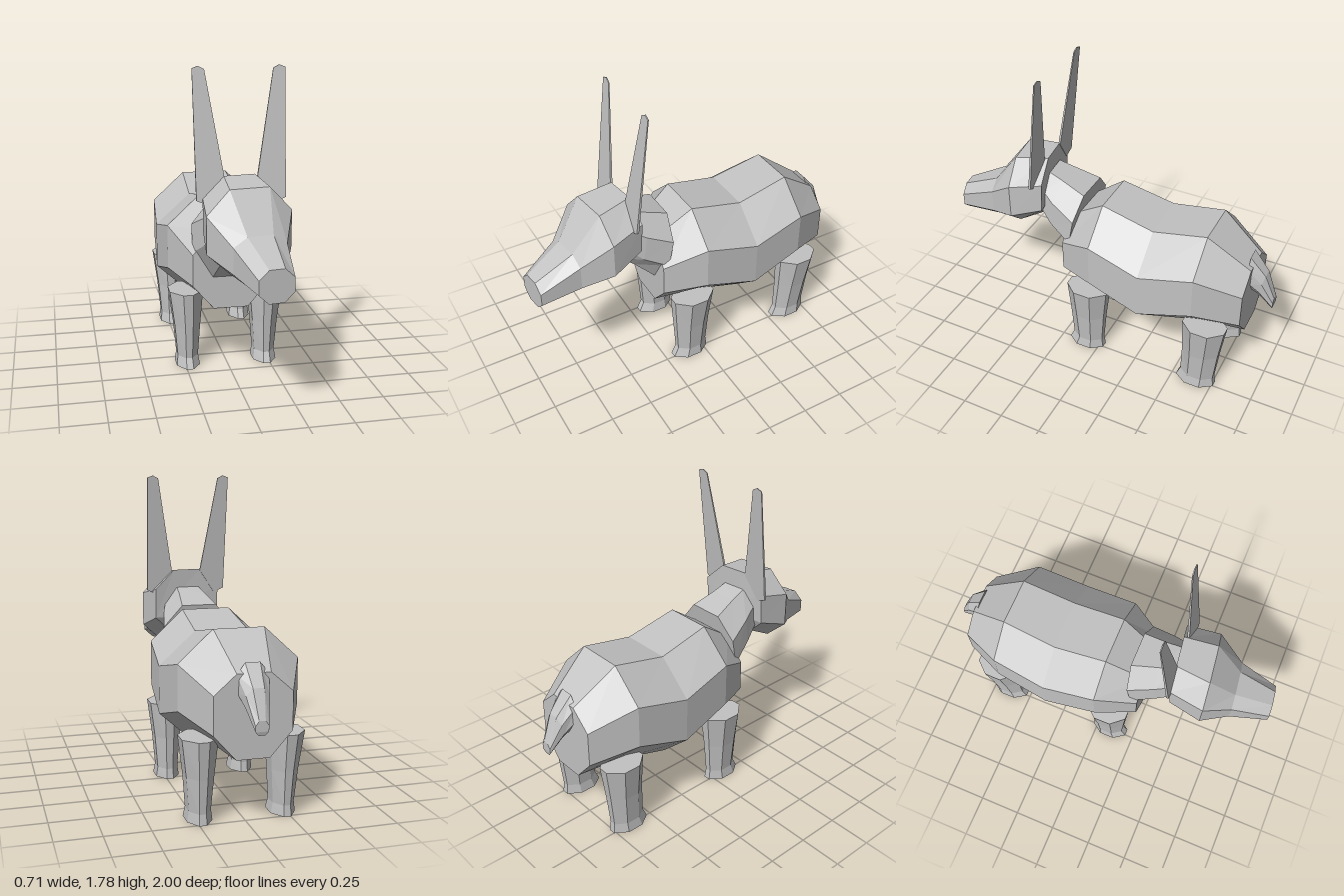
import * as THREE from 'three';

const hide = new THREE.MeshStandardMaterial({ color: 0xc2c2c2, flatShading: true, side: THREE.DoubleSide });
hide.name = 'grey hide';

// Skins a list of rings (ordered counter-clockwise seen from the first end) and caps both ends.
function loft(name, rings) {
  const n = rings[0].length, pos = [], index = [];
  rings.forEach(r => r.forEach(p => pos.push(...p)));
  for (let s = 0; s < rings.length - 1; s++) {
    for (let i = 0; i < n; i++) {
      const j = (i + 1) % n, a = s * n, b = a + n;
      index.push(a + i, b + i, b + j, a + i, b + j, a + j);
    }
  }
  const last = (rings.length - 1) * n;
  for (let i = 1; i < n - 1; i++) index.push(0, i, i + 1, last, last + i + 1, last + i);
  const indexed = new THREE.BufferGeometry();
  indexed.setAttribute('position', new THREE.Float32BufferAttribute(pos, 3));
  indexed.setIndex(index);
  const g = indexed.toNonIndexed();
  g.computeVertexNormals();
  const mesh = new THREE.Mesh(g, hide);
  mesh.name = name;
  return mesh;
}

// Octagonal slice across the animal: ys and zs run top, upper side, lower side, bottom.
function slice(cx, side, flat, ys, zs, turn = 0) {
  const z = Array.isArray(zs) ? zs : [zs, zs, zs, zs];
  const corners = [[side, 2], [side, 1], [flat, 0], [-flat, 0], [-side, 1], [-side, 2], [-flat, 3], [flat, 3]];
  return corners.map(([x, k]) => [cx + x, ys[k], z[k] - x * turn]);
}

// Chamfered octagon lying flat, for the legs.
function legSlice(y, x0, x1, z0, z1) {
  const cx = (x0 + x1) / 2, cz = (z0 + z1) / 2, hx = (x1 - x0) / 2, hz = (z1 - z0) / 2;
  const corners = [[1, 0.4], [0.3, 1], [-0.3, 1], [-1, 0.4], [-1, -0.4], [-0.3, -1], [0.3, -1], [1, -0.4]];
  return corners.map(([x, z]) => [cx + x * hx, y, cz - z * hz]);
}

export function createModel() {
  const model = new THREE.Group();
  model.name = 'long eared animal';

  // Barrel body with a sagging back
  model.add(loft('body', [
    slice(0, 0.22, 0.10, [0.85, 0.715, 0.53, 0.39], 0.25),
    slice(0, 0.33, 0.14, [1.01, 0.833, 0.575, 0.395], 0.02),
    slice(0, 0.355, 0.15, [0.94, 0.755, 0.485, 0.30], -0.30),
    slice(0, 0.33, 0.14, [1.005, 0.83, 0.58, 0.39], -0.62),
    slice(0, 0.21, 0.09, [0.82, 0.715, 0.51, 0.375], -0.87),
  ]));

  // Neck rising into the back of the head
  model.add(loft('neck', [
    slice(0.01, 0.14, 0.07, [1.09, 1.0, 0.87, 0.78], [0.40, 0.42, 0.44, 0.46], 0.1),
    slice(0.005, 0.175, 0.08, [1.06, 0.95, 0.80, 0.705], [0.31, 0.33, 0.35, 0.37]),
    slice(0, 0.215, 0.105, [1.01, 0.88, 0.72, 0.58], [0.16, 0.18, 0.21, 0.25]),
  ]));

  // Head, turned slightly to its left
  const turn = 0.13;
  model.add(loft('head', [
    slice(0.075, 0.095, 0.042, [0.855, 0.805, 0.73, 0.68], 0.985, turn),
    slice(0.045, 0.145, 0.07, [0.96, 0.91, 0.77, 0.70], 0.76, turn),
    slice(0.025, 0.235, 0.11, [1.172, 1.04, 0.835, 0.72], 0.60, turn),
    slice(0.012, 0.205, 0.088, [1.2, 1.085, 0.905, 0.795], [0.40, 0.40, 0.41, 0.46], turn),
  ]));

  // Tall blade ears leaning back
  for (const s of [1, -1]) {
    const outline = [[0.09, 1.19], [0.185, 1.05], [0.245, 1.075], [0.252, 1.765], [0.218, 1.777], [0.186, 1.76]];
    const shape = new THREE.Shape(outline.map(([x, y]) => new THREE.Vector2(s * x, y)));
    const g = new THREE.ExtrudeGeometry(shape, { depth: 0.014, bevelEnabled: false });
    const p = g.attributes.position;
    for (let i = 0; i < p.count; i++) {
      const up = (p.getY(i) - 1.08) / 0.7;
      p.setZ(i, 0.418 - 0.075 * up + p.getZ(i) * (1 - 0.6 * up));
    }
    g.computeVertexNormals();
    const ear = new THREE.Mesh(g, hide);
    ear.name = s > 0 ? 'leftEar' : 'rightEar';
    ear.position.x = 0.018;
    model.add(ear);
  }

  // Legs with small flared hooves
  for (const s of [1, -1]) {
    const side = s > 0 ? 'left' : 'right';
    const leg = (name, rows) => model.add(loft(name, rows.map(([y, inner, outer, z0, z1]) =>
      legSlice(y, Math.min(s * inner, s * outer), Math.max(s * inner, s * outer), z0, z1))));
    leg(side + 'FrontLeg', [
      [0.46, 0.14, 0.335, -0.06, 0.20], [0.25, 0.158, 0.308, -0.035, 0.185],
      [0.06, 0.172, 0.292, -0.02, 0.172], [0, 0.163, 0.30, -0.028, 0.20],
    ]);
    leg(side + 'BackLeg', [
      [0.46, 0.14, 0.335, -0.805, -0.55], [0.25, 0.158, 0.308, -0.775, -0.555],
      [0.06, 0.172, 0.292, -0.755, -0.55], [0, 0.163, 0.30, -0.762, -0.525],
    ]);
  }

  // Short drooping tail
  model.add(loft('tail', [
    slice(0, 0.085, 0.04, [0.87, 0.81, 0.72, 0.65], [-0.845, -0.85, -0.86, -0.865]),
    slice(0, 0.062, 0.03, [0.76, 0.72, 0.66, 0.62], [-0.94, -0.93, -0.92, -0.91]),
    slice(0, 0.035, 0.017, [0.61, 0.585, 0.555, 0.535], [-1.0, -1.0, -1.0, -0.995]),
  ]));

  return model;
}
